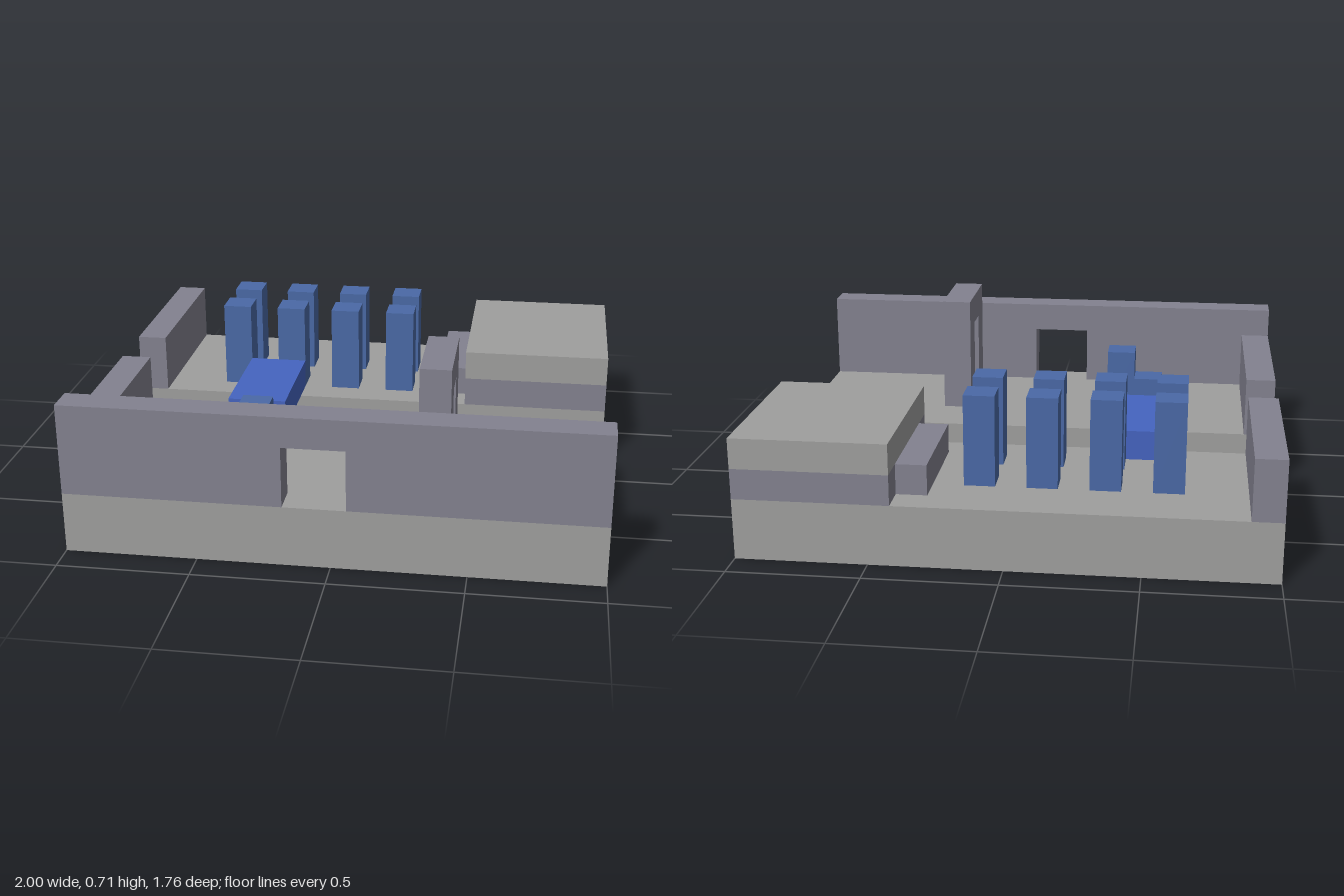
import * as THREE from 'three';

const U = 2 / 17; // one grid cell; the model is 17 cells wide and 15 deep

const material = (name, color) => {
  const m = new THREE.MeshStandardMaterial({ color });
  m.name = name;
  return m;
};

export function createModel() {
  const model = new THREE.Group();
  model.name = 'courtyard';
  const stone = material('stone grey', 0x9f9f9e);
  const wall = material('wall grey', 0x83828f);
  const pillarBlue = material('pillar blue', 0x4a69a6);
  const bridgeBlue = material('bridge blue', 0x4564c0);
  const water = material('water blue', 0x2c4484);

  // Box from cell ranges; x counts from the right edge, z from the back edge
  const block = (name, mat, [x0, x1], [y0, y1], [z0, z1]) => {
    const geo = new THREE.BoxGeometry((x1 - x0) * U, (y1 - y0) * U, (z1 - z0) * U);
    const mesh = new THREE.Mesh(geo, mat);
    mesh.name = name;
    mesh.position.set(((x0 + x1) / 2 - 8.5) * U, ((y0 + y1) / 2) * U, ((z0 + z1) / 2 - 7.5) * U);
    model.add(mesh);
    return mesh;
  };

  // Wall one cell thick with a doorway reaching the floor
  const gateWall = (name, length, height, doorStart, doorEnd, doorHeight) => {
    const points = [
      [0, 0], [doorStart, 0], [doorStart, doorHeight], [doorEnd, doorHeight],
      [doorEnd, 0], [length, 0], [length, height], [0, height],
    ].map(([x, y]) => new THREE.Vector2(x * U, y * U));
    const geo = new THREE.ExtrudeGeometry(new THREE.Shape(points), { depth: U, bevelEnabled: false });
    const mesh = new THREE.Mesh(geo, wall);
    mesh.name = name;
    model.add(mesh);
    return mesh;
  };

  // Ground on both banks and the channel between them
  block('backGround', stone, [0, 17], [0, 2], [0, 6]);
  block('channel', water, [0, 17], [0, 1], [6, 8]);
  block('frontGround', stone, [0, 17], [0, 2], [8, 15]);

  // Raised terrace in the back corner
  block('terraceBase', wall, [12, 17], [2, 3], [0, 6]);
  block('terraceTop', stone, [12, 17], [3, 4], [0, 6]);
  block('terraceStep', wall, [11, 12], [2, 3], [1, 5]);

  // Side walls
  block('backSideWall', wall, [0, 1], [2, 4], [0, 6]);
  block('frontSideWall', wall, [0, 1], [2, 4], [8, 14]);

  // Front wall with its doorway
  gateWall('frontWall', 17, 3, 7, 9, 2).position.set(-8.5 * U, 2 * U, 6.5 * U);

  // Free-standing arch, turned to span front to back
  const arch = gateWall('arch', 3, 4, 1, 2, 3);
  arch.rotation.y = -Math.PI / 2;
  arch.position.set(3.5 * U, 2 * U, 2.5 * U);

  // Bridge over the channel
  block('bridge', bridgeBlue, [4, 6], [2, 3], [5, 9]);

  // Two rows of pillars
  for (const z of [2, 4]) {
    for (const x of [3, 5, 7, 9]) block('pillar', pillarBlue, [x, x + 1], [2, 5], [z, z + 1]);
  }

  // Stepped seat
  block('seatBase', pillarBlue, [4, 5], [2, 3], [11, 12]);
  block('seatBack', pillarBlue, [5, 6], [2, 4], [11, 12]);

  return model;
}
